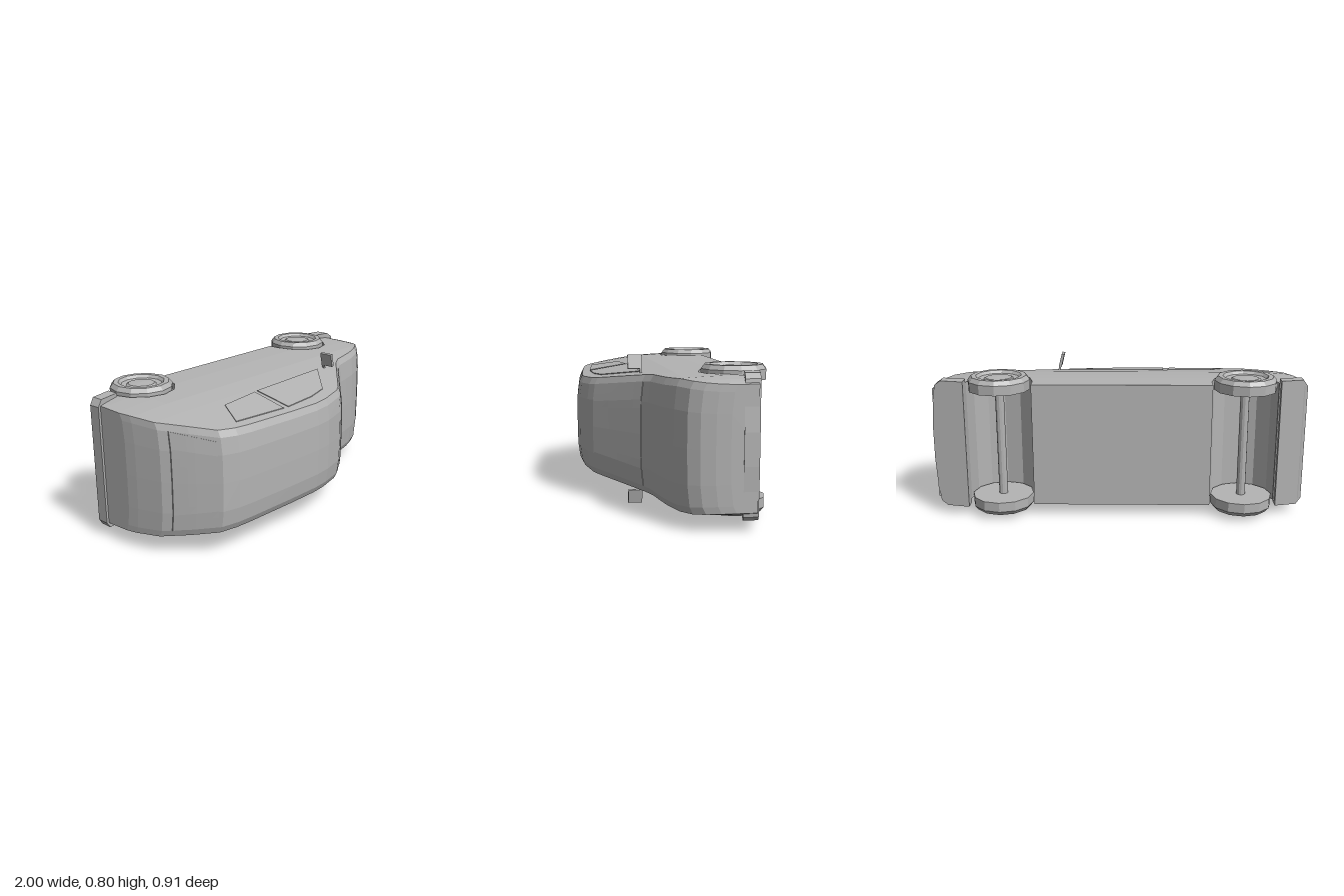
import * as THREE from 'three';

// The car lies on its side: length along x (nose at +x), width along y, height along z.
const MID = 0.4;          // y of the car's centre plane
const AXLE_Z = -0.29, ARCH_R = 0.178, AXLES = [-0.67, 0.64];

// piecewise linear lookup
function lookup(table, v) {
  if (v <= table[0][0]) return table[0][1];
  for (let i = 1; i < table.length; i++) {
    const [a, fa] = table[i - 1], [b, fb] = table[i];
    if (v <= b) return fa + (fb - fa) * (v - a) / (b - a);
  }
  return table[table.length - 1][1];
}

const ROOF = [[-0.985, -0.06], [-0.975, 0], [-0.94, 0.14], [-0.85, 0.265], [-0.76, 0.38], [-0.65, 0.417],
  [-0.3, 0.445], [-0.1, 0.455], [0, 0.447], [0.15, 0.412], [0.2, 0.385], [0.35, 0.267], [0.52, 0.135],
  [0.62, 0.115], [0.75, 0.085], [0.85, 0.045], [0.93, -0.005], [0.965, -0.06], [0.983, -0.13], [0.99, -0.2]];
const WIDTH = [[-0.37, 0.335], [-0.2, 0.335], [-0.1, 0.331], [0, 0.325], [0.12, 0.308], [0.425, 0.255]];
const TAPER = [[-0.985, 0.95], [-0.9, 0.985], [-0.75, 1], [0.6, 1], [0.85, 0.985], [0.95, 0.95], [0.99, 0.9]];
const halfWidth = h => lookup(WIDTH, h);

// half of the upper edge of a cross-section: shoulder, bevel, crown, centre
function crown(x) {
  const top = lookup(ROOF, x), s = top - 0.03, w = halfWidth(s) * lookup(TAPER, x);
  return [[w, s], [w - 0.035, top - 0.013], [w * 0.55, top - 0.002], [0, top]];
}
const topHeight = (x, w) => lookup(crown(x).reverse(), Math.abs(w));

function facet(geo) {
  const g = geo.index ? geo.toNonIndexed() : geo;
  g.computeVertexNormals();
  return g;
}

function fromTriangles(pos) {
  const g = new THREE.BufferGeometry();
  g.setAttribute('position', new THREE.Float32BufferAttribute(pos, 3));
  return facet(g);
}

function bodyGeometry() {
  // stations [x, underside height], with wheel arches through the full width
  const floor = [-0.3, -0.365, -0.33];
  const stations = [];
  let zone = 0;
  const addPlain = (from, to) => ROOF.forEach(([x]) => {
    if (x > from && x < to) stations.push([x, floor[zone]]);
  });
  let from = -2;
  for (const cx of AXLES) {
    addPlain(from, cx - ARCH_R);
    stations.push([cx - ARCH_R, floor[zone]]);
    for (let k = 0; k <= 6; k++) {
      const t = Math.PI * (1 - k / 6);
      stations.push([cx + ARCH_R * Math.cos(t), AXLE_Z + ARCH_R * Math.sin(t)]);
    }
    zone++;
    stations.push([cx + ARCH_R, floor[zone]]);
    from = cx + ARCH_R;
  }
  addPlain(from, 2);

  const sections = stations.map(([x, b]) => {
    const edge = crown(x), s = edge[0][1], f = lookup(TAPER, x);
    const half = [[0, b]];
    for (const h of [b, -0.2, -0.1, 0, 0.12]) {
      const z = Math.min(Math.max(h, b), s);
      half.push([halfWidth(z) * f, z]);
    }
    half.push(...edge);
    const mirrored = half.slice(1, -1).reverse().map(([w, z]) => [-w, z]);
    return [...half, ...mirrored].map(([w, z]) => [x, MID + w, z]);
  });

  const pos = [], n = sections[0].length;
  const tri = (a, b, c) => pos.push(...a, ...b, ...c);
  for (let i = 0; i + 1 < sections.length; i++) {
    const p = sections[i], q = sections[i + 1];
    for (let j = 0; j < n; j++) {
      const k = (j + 1) % n;
      tri(p[j], p[k], q[j]);
      tri(p[k], q[k], q[j]);
    }
  }
  const tail = sections[0], nose = sections[sections.length - 1];
  for (let j = 1; j + 1 < n; j++) {
    tri(nose[0], nose[j], nose[j + 1]);
    tri(tail[0], tail[j + 1], tail[j]);
  }
  return fromTriangles(pos);
}

// thin pane lying on the upper surface, w0 and w1 are half widths at x0 and x1
function paneGeometry(x0, w0, x1, w1) {
  const g = new THREE.BoxGeometry(1, 1, 0.008, 6, 12, 1);
  const p = g.attributes.position;
  for (let i = 0; i < p.count; i++) {
    const t = p.getX(i) + 0.5, x = x0 + (x1 - x0) * t;
    const w = 2 * p.getY(i) * (w0 + (w1 - w0) * t);
    p.setXYZ(i, x, MID + w, topHeight(x, w) + p.getZ(i) + 0.001);
  }
  return facet(g);
}

// thin side pane following the slope of the body side
function sidePaneGeometry(outline, side) {
  const shape = new THREE.Shape(outline.map(([x, h]) => new THREE.Vector2(x, h)));
  const g = facet(new THREE.ExtrudeGeometry(shape, { depth: 0.008, bevelEnabled: false }));
  const src = g.attributes.position, pos = [];
  for (let i = 0; i < src.count; i += 3) {
    const order = side > 0 ? [i, i + 2, i + 1] : [i, i + 1, i + 2];
    for (const k of order) {
      const h = src.getY(k);
      pos.push(src.getX(k), MID + side * (halfWidth(h) + src.getZ(k) - 0.004), h);
    }
  }
  return fromTriangles(pos);
}

// bumper: plan outline with cut corners, sheared upward toward its end
function bumperGeometry(outline, z, height, slope, x0) {
  const pts = [...outline, ...outline.slice().reverse().map(([x, w]) => [x, -w])];
  const shape = new THREE.Shape(pts.map(([x, w]) => new THREE.Vector2(x, MID + w)));
  const g = new THREE.ExtrudeGeometry(shape, { depth: height, bevelEnabled: false });
  const p = g.attributes.position;
  for (let i = 0; i < p.count; i++) p.setZ(i, z + p.getZ(i) + slope * (p.getX(i) - x0));
  return facet(g);
}

export function createModel() {
  const car = new THREE.Group();
  car.name = 'car';
  const grey = new THREE.MeshStandardMaterial({ color: 0xb4b4b4 });
  grey.name = 'plain grey';
  const add = (name, geo, parent = car) => {
    const m = new THREE.Mesh(geo, grey);
    m.name = name;
    parent.add(m);
    return m;
  };

  add('body', bodyGeometry());
  add('windshield', paneGeometry(0.21, 0.21, 0.495, 0.27));
  add('rearWindow', paneGeometry(-0.91, 0.26, -0.775, 0.215));
  add('frontBumper', bumperGeometry(
    [[0.818, 0.35], [0.94, 0.35], [0.975, 0.325], [0.99, 0.2], [0.997, 0.08]], -0.372, 0.075, 0.21, 0.818));
  add('rearBumper', bumperGeometry(
    [[-0.855, 0.35], [-0.975, 0.35], [-1, 0.315]], -0.33, 0.065, -0.24, -0.855));

  // wheels and axles
  const tyre = [[0, 0], [0.166, 0], [0.166, 0.052], [0.148, 0.075], [0.122, 0.075], [0.108, 0.06],
    [0.08, 0.056], [0.07, 0.064], [0, 0.068]].map(([r, y]) => new THREE.Vector2(r, y));
  const wheelGeo = facet(new THREE.LatheGeometry(tyre, 12));
  const axleGeo = facet(new THREE.CylinderGeometry(0.024, 0.024, 0.6, 12));
  AXLES.forEach((x, i) => {
    const end = i ? 'front' : 'rear';
    add(end + 'Axle', axleGeo).position.set(x, MID, AXLE_Z);
    for (const side of [1, -1]) {
      const wheel = add(end + (side > 0 ? 'LeftWheel' : 'RightWheel'), wheelGeo);
      wheel.position.set(x, MID + side * 0.295, AXLE_Z);
      if (side < 0) wheel.rotation.x = Math.PI;
    }
  });

  // side windows and mirrors
  const rearPane = [[-0.62, 0.34], [-0.53, 0.18], [-0.275, 0.155], [-0.295, 0.37]];
  const frontPane = [[-0.25, 0.15], [0.3, 0.135], [0.24, 0.19], [0.09, 0.33], [-0.05, 0.36], [-0.26, 0.372]];
  for (const side of [1, -1]) {
    const label = side > 0 ? 'Left' : 'Right';
    add('rear' + label + 'SideWindow', sidePaneGeometry(rearPane, side));
    add('front' + label + 'SideWindow', sidePaneGeometry(frontPane, side));
    const mirror = new THREE.Group();
    mirror.name = 'mirror' + label;
    mirror.position.set(0.342, MID + side * 0.361, 0.17);
    mirror.rotation.z = side * 0.24;
    add('mirrorHousing', new THREE.BoxGeometry(0.016, 0.075, 0.075), mirror);
    add('mirrorStalk', new THREE.BoxGeometry(0.012, 0.05, 0.012), mirror).position.set(0, -side * 0.055, -0.031);
    car.add(mirror);
  }
  return car;
}
